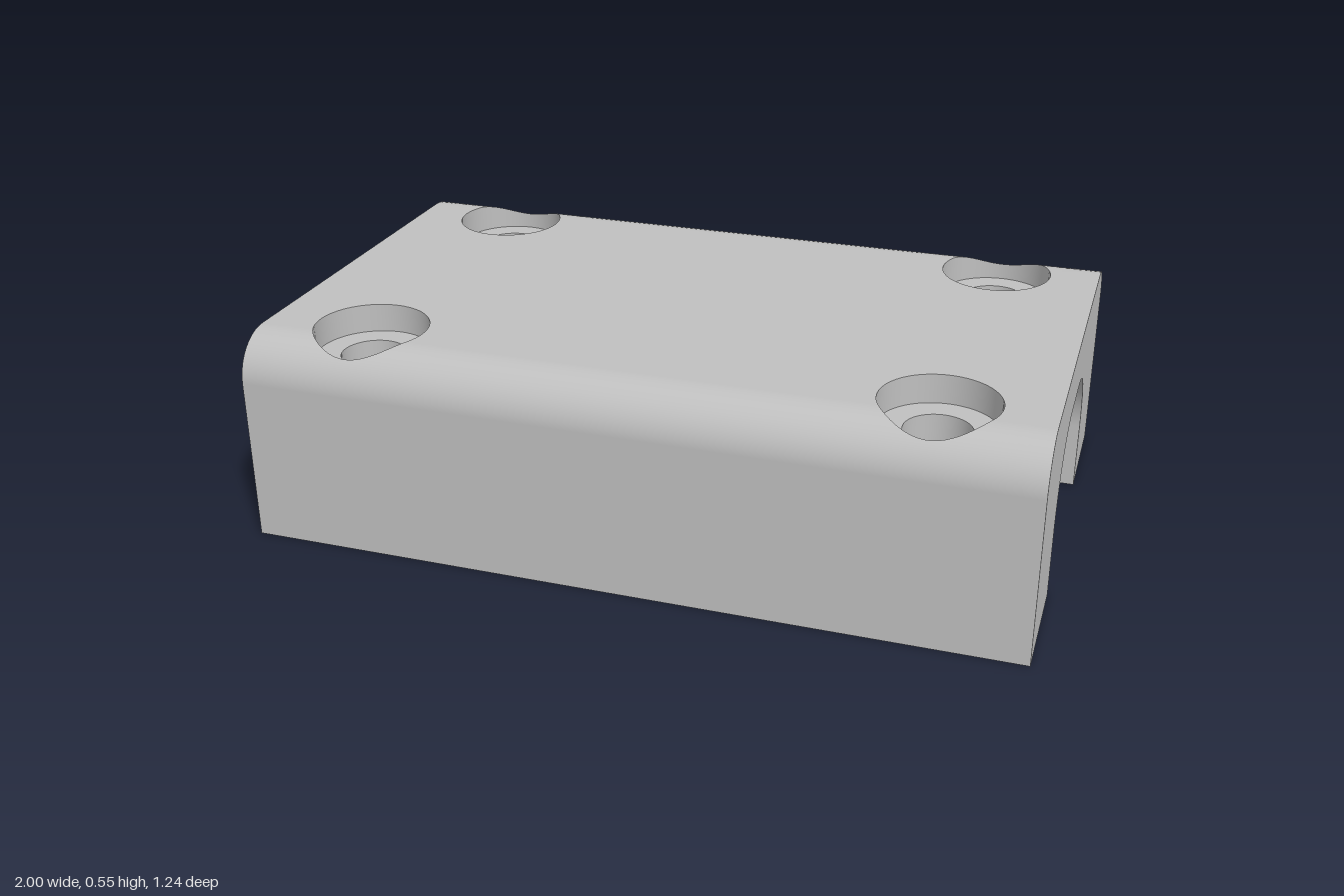
import * as THREE from 'three';
import { mergeGeometries } from 'three/addons/utils/BufferGeometryUtils.js';

const HALF_W = 0.622, HEIGHT = 0.55, FILLET = 0.12;
const HOLE = { x: 0.725, z: 0.4375, bore: 0.083, counter: 0.146, floor: 0.475 };
const QUADRANTS = [[1, 1], [-1, 1], [1, -1], [-1, -1]];

// Half of a round-shouldered arch: arc length from the middle -> z, y and outward normal
function arch(w, h, r) {
  const flat = w - r, arcEnd = flat + r * Math.PI / 2, end = arcEnd + h - r;
  const at = (s) => {
    const a = Math.min(Math.max((s - flat) / r, 0), Math.PI / 2);
    return {
      z: Math.min(s, flat) + r * Math.sin(a),
      y: h - r + r * Math.cos(a) - Math.max(s - arcEnd, 0),
      nz: Math.sin(a), ny: Math.cos(a),
    };
  };
  const fromZ = (z) => (z <= flat ? z : flat + r * Math.asin((z - flat) / r));
  return { flat, arcEnd, end, at, fromZ };
}
const outer = arch(HALF_W, HEIGHT, FILLET);
const inner = arch(0.3, 0.4, 0.22);

// Grid surface from fn(u, v) -> [x, y, z, nx, ny, nz], mirrored by sx, sz
function grid(nu, nv, fn, sx = 1, sz = 1, flip = false) {
  const pos = [], nor = [], uv = [], idx = [];
  for (let i = 0; i <= nu; i++) for (let j = 0; j <= nv; j++) {
    const [x, y, z, nx, ny, nz] = fn(i / nu, j / nv);
    pos.push(x * sx, y, z * sz);
    nor.push(nx * sx, ny, nz * sz);
    uv.push(i / nu, j / nv);
  }
  const reverse = (sx * sz < 0) !== flip;
  for (let i = 0; i < nu; i++) for (let j = 0; j < nv; j++) {
    const a = i * (nv + 1) + j, b = a + nv + 1;
    if (reverse) idx.push(a, b + 1, b, a, a + 1, b + 1);
    else idx.push(a, b, b + 1, a, b + 1, a + 1);
  }
  const g = new THREE.BufferGeometry();
  g.setAttribute('position', new THREE.Float32BufferAttribute(pos, 3));
  g.setAttribute('normal', new THREE.Float32BufferAttribute(nor, 3));
  g.setAttribute('uv', new THREE.Float32BufferAttribute(uv, 2));
  g.setIndex(idx);
  return g;
}

// Rectangular piece of an arch surface
const strip = (p, x0, x1, s0, s1, n, sx, sz, flip) => grid(n, 1, (u, v) => {
  const q = p.at(s0 + (s1 - s0) * u), k = flip ? -1 : 1;
  return [x0 + (x1 - x0) * v, q.y, q.z, 0, q.ny * k, q.nz * k];
}, sx, sz, flip);

// Rectangle around each hole, in x and arc length; 25 steps put one on the fillet edge
const N = 25, X0 = 0.5, X1 = 0.95;
const S1 = outer.arcEnd, S0 = outer.flat - 1.5 * (outer.arcEnd - outer.flat);
function rim(u) {
  const k = Math.min(Math.floor(u * 4 + 1e-9), 3), f = u * 4 - k;
  const x = [X1, X1 + (X0 - X1) * f, X0, X0 + (X1 - X0) * f][k];
  const s = [S0 + (S1 - S0) * f, S1, S1 + (S0 - S1) * f, S0][k];
  return { x, s, t: Math.atan2(s - HOLE.z, x - HOLE.x) };
}
const onCircle = (t, r) => [HOLE.x + r * Math.cos(t), HOLE.z + r * Math.sin(t)];

// Top surface blending from the counterbore edge out to the rectangle
const holePatch = (sx, sz) => grid(4 * N, 10, (u, v) => {
  const e = rim(u), [cx, cz] = onCircle(e.t, HOLE.counter), cs = outer.fromZ(cz);
  const q = outer.at(cs + (e.s - cs) * v);
  return [cx + (e.x - cx) * v, q.y, q.z, 0, q.ny, q.nz];
}, sx, sz);

// Hole wall facing its own axis
const wall = (r, bottom, top, sx, sz) => grid(4 * N, 1, (u, v) => {
  const { t } = rim(u), [x, z] = onCircle(t, r);
  return [x, v ? top(z) : bottom, z, -Math.cos(t), 0, -Math.sin(t)];
}, sx, sz);

const seat = (sx, sz) => grid(4 * N, 1, (u, v) => {
  const [x, z] = onCircle(rim(u).t, HOLE.bore + (HOLE.counter - HOLE.bore) * v);
  return [x, HOLE.floor, z, 0, 1, 0];
}, sx, sz);

// Arch-shaped end face
function endFace(side) {
  const pts = [];
  const half = (p, n) => {
    const out = [];
    for (let i = 0; i <= n; i++) out.push(p.at(p.flat + (p.arcEnd - p.flat) * i / n));
    out.push(p.at(p.end));
    return out;
  };
  const o = half(outer, 10), c = half(inner, 20);
  const add = (list, sign) => list.forEach((q) => pts.push(new THREE.Vector2(sign * q.z, q.y)));
  add([...o].reverse(), 1);
  add(o, -1);
  add([...c].reverse(), -1);
  add(c, 1);
  return new THREE.ShapeGeometry(new THREE.Shape(pts)).rotateY(side * Math.PI / 2).translate(side, 0, 0);
}

// Underside of one leg with its two bolt holes
function foot(side) {
  const a = side * 0.3, b = side * HALF_W;
  const shape = new THREE.Shape([[-1, a], [1, a], [1, b], [-1, b]].map((p) => new THREE.Vector2(...p)));
  for (const sx of [-1, 1]) {
    shape.holes.push(new THREE.Path().absarc(sx * HOLE.x, side * HOLE.z, HOLE.bore, 0, Math.PI * 2, true));
  }
  return new THREE.ShapeGeometry(shape, 64).rotateX(Math.PI / 2);
}

export function createModel() {
  const group = new THREE.Group();
  const metal = new THREE.MeshStandardMaterial({ color: 0xbfbfbf });
  metal.name = 'grey metal';
  const add = (name, parts) => {
    const mesh = new THREE.Mesh(mergeGeometries(parts), metal);
    mesh.name = name;
    group.add(mesh);
  };

  add('roundedTop', QUADRANTS.flatMap(([sx, sz]) => [
    strip(outer, 0, 1, 0, S0, 1, sx, sz),
    strip(outer, 0, X0, S0, S1, N, sx, sz),
    strip(outer, X1, 1, S0, S1, N, sx, sz),
    holePatch(sx, sz),
  ]));
  add('sideWalls', [1, -1].map((sz) => strip(outer, -1, 1, outer.arcEnd, outer.end, 1, 1, sz)));
  add('channel', [1, -1].flatMap((sz) => [
    strip(inner, -1, 1, 0, inner.flat, 1, 1, sz, true),
    strip(inner, -1, 1, inner.flat, inner.arcEnd, 20, 1, sz, true),
    strip(inner, -1, 1, inner.arcEnd, inner.end, 1, 1, sz, true),
  ]));
  add('endFaces', [endFace(1), endFace(-1)]);
  add('feet', [foot(1), foot(-1)]);
  add('counterbores', QUADRANTS.flatMap(([sx, sz]) => [
    wall(HOLE.counter, HOLE.floor, (z) => outer.at(outer.fromZ(z)).y, sx, sz),
    seat(sx, sz),
  ]));
  add('boltHoles', QUADRANTS.map(([sx, sz]) => wall(HOLE.bore, 0, () => HOLE.floor, sx, sz)));
  return group;
}
